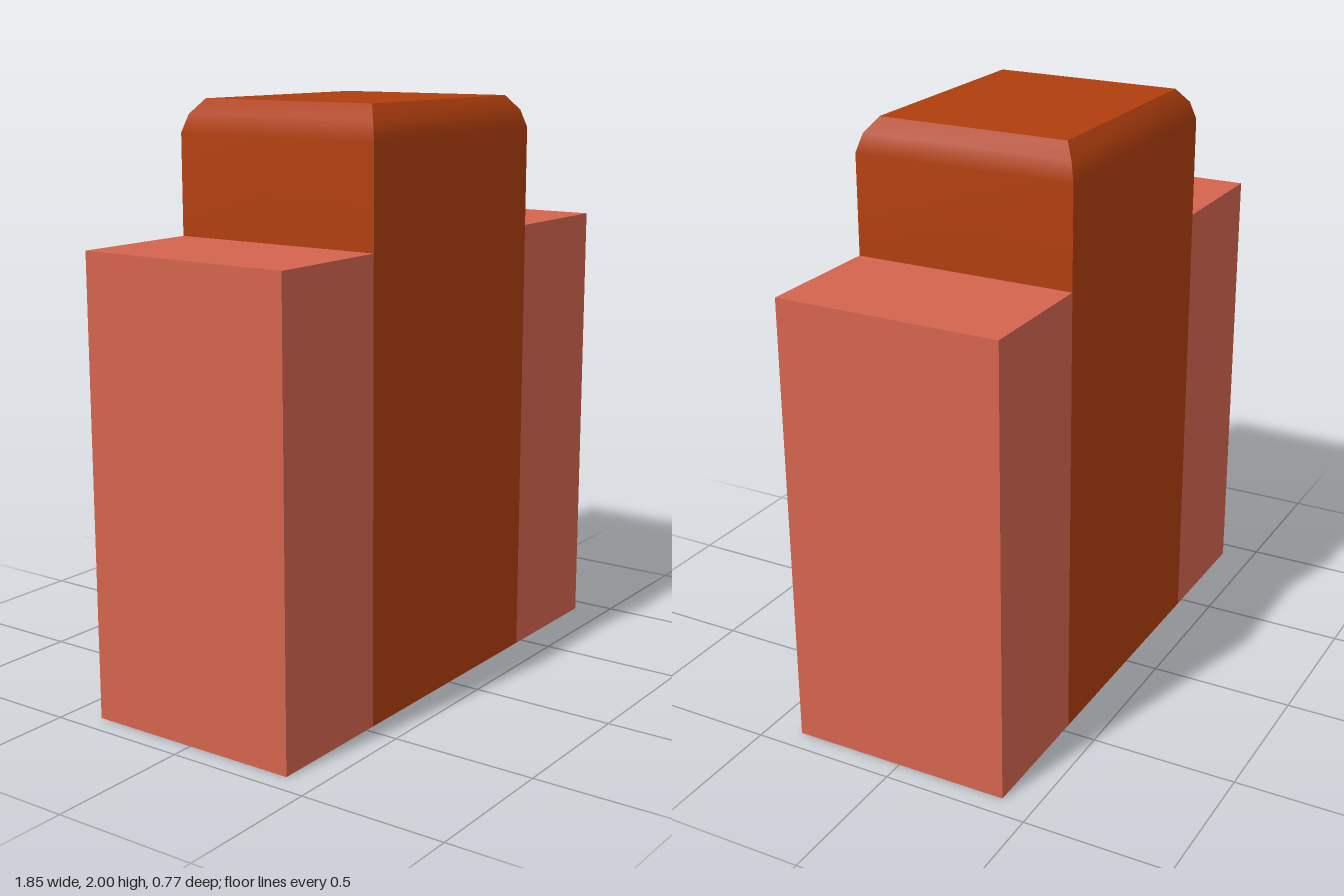
import * as THREE from 'three';
import { mergeGeometries } from 'three/addons/utils/BufferGeometryUtils.js';

const HALF_X = 0.465, HALF_Z = 0.385;   // tower footprint
const WING_W = 0.46, WING_H = 1.55;

// Tower profile, bottom to top: [height, inset in x, inset in z]
const PROFILE = [
  [0, 0, 0],
  [WING_H, 0, 0],
  [1.89, 0, 0],
  [1.95, 0.02, 0.017],
  [2, 0.065, 0.053],
];
const CORNERS = [[-1, 1], [1, 1], [1, -1], [-1, -1]];

// One side of the tower, smooth from wall to shoulder
function sideStrip(a, b) {
  const positions = [], index = [];
  PROFILE.forEach(([y, ix, iz], i) => {
    for (const [sx, sz] of [a, b]) positions.push(sx * (HALF_X - ix), y, sz * (HALF_Z - iz));
    if (i > 0) {
      const p = (i - 1) * 2;
      index.push(p, p + 1, p + 3, p, p + 3, p + 2);
    }
  });
  const geo = new THREE.BufferGeometry();
  geo.setAttribute('position', new THREE.Float32BufferAttribute(positions, 3));
  geo.setIndex(index);
  geo.computeVertexNormals();
  return geo;
}

// Flat cap at a profile row, facing up (1) or down (-1)
function cap([y, ix, iz], facing) {
  const geo = new THREE.PlaneGeometry(2 * (HALF_X - ix), 2 * (HALF_Z - iz));
  geo.rotateX(-facing * Math.PI / 2).translate(0, y, 0);
  geo.deleteAttribute('uv');
  return geo;
}

export function createModel() {
  const model = new THREE.Group();
  model.name = 'steppedTower';

  const rust = new THREE.MeshStandardMaterial({ color: 0xb03e0e });
  rust.name = 'rust';
  const coral = new THREE.MeshStandardMaterial({ color: 0xd4644e });
  coral.name = 'coral';

  // Central tower with rounded shoulders
  const tower = new THREE.Mesh(mergeGeometries([
    ...CORNERS.map((c, i) => sideStrip(c, CORNERS[(i + 1) % 4])),
    cap(PROFILE[PROFILE.length - 1], 1),
    cap(PROFILE[0], -1),
  ]), rust);
  tower.name = 'centralTower';
  model.add(tower);

  // Lower wings, flush with the tower front and back
  for (const [name, side] of [['leftWing', 1], ['rightWing', -1]]) {
    const wing = new THREE.Mesh(new THREE.BoxGeometry(WING_W, WING_H, 2 * HALF_Z), coral);
    wing.position.set(side * (HALF_X + WING_W / 2), WING_H / 2, 0);
    wing.name = name;
    model.add(wing);
  }
  return model;
}
